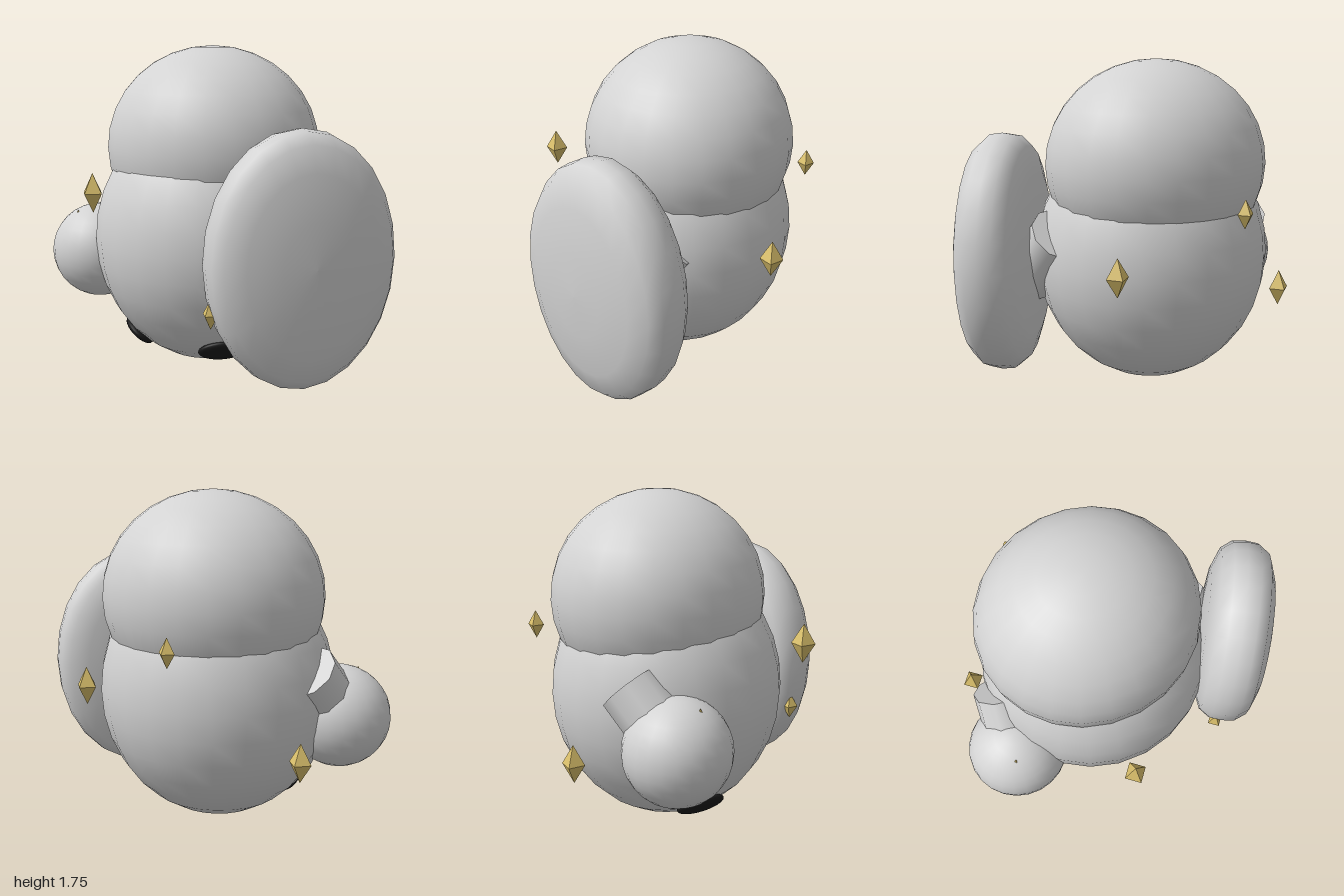
import * as THREE from 'three';

const CX = -0.115; // symmetry line of the figure

export function createModel() {
  const group = new THREE.Group();
  const mat = (name, color) => {
    const m = new THREE.MeshStandardMaterial({ color });
    m.name = name;
    return m;
  };
  const grey = mat('pale grey', 0xd3d3d3);
  const black = mat('black', 0x1a1a1a);
  const gold = mat('gold', 0xd9bf6b);
  gold.flatShading = true;

  const add = (name, geometry, material, x, y, z) => {
    const mesh = new THREE.Mesh(geometry, material);
    mesh.name = name;
    mesh.position.set(x, y, z);
    group.add(mesh);
    return mesh;
  };
  const ellipsoid = (rx, ry, rz) => new THREE.SphereGeometry(1, 24, 16).scale(rx, ry, rz);

  // Body and head
  add('body', ellipsoid(0.635, 0.7, 0.615), grey, CX, 0.703, -0.045);
  add('head', ellipsoid(0.595, 0.55, 0.56), grey, CX, 1.2, -0.09);

  // Feet: shallow pads lying along the underside of the body
  for (const side of [-1, 1]) {
    const foot = add(side < 0 ? 'rightFoot' : 'leftFoot', ellipsoid(0.135, 0.095, 0.035), black,
      CX + side * 0.29, 0.157, 0.22);
    foot.lookAt(foot.position.clone().add(new THREE.Vector3(side * 0.48, -0.74, 0.47)));
  }

  // Arms: short sloping stubs from shoulder to hand
  for (const side of [-1, 1]) {
    const shoulder = new THREE.Vector3(CX + side * 0.545, 0.86, -0.07);
    const wrist = new THREE.Vector3(CX + side * 0.61, 0.58, 0.185);
    const axis = shoulder.clone().sub(wrist);
    const mid = shoulder.clone().add(wrist).multiplyScalar(0.5);
    const arm = add(side < 0 ? 'rightArm' : 'leftArm',
      new THREE.CylinderGeometry(0.16, 0.16, axis.length(), 10), grey, mid.x, mid.y, mid.z);
    arm.quaternion.setFromUnitVectors(new THREE.Vector3(0, 1, 0), axis.normalize());
  }
  add('rightHand', ellipsoid(0.275, 0.27, 0.27), grey, -0.725, 0.58, 0.185);

  // Large oval pad on the left arm
  const profile = [[0, -0.2], [0.35, -0.195], [0.7, -0.17], [0.9, -0.13], [0.985, -0.07],
    [1, 0], [0.985, 0.07], [0.9, 0.13], [0.7, 0.17], [0.35, 0.2], [0, 0.205]]
    .map(([r, h]) => new THREE.Vector2(r, h));
  const padGeometry = new THREE.LatheGeometry(profile, 24);
  padGeometry.rotateX(Math.PI / 2).scale(0.49, 0.65, 1);
  const pad = add('leftPad', padGeometry, grey, 0.635, 0.717, 0.217);
  pad.rotation.y = 0.945;

  // Ring of seven floating gems at three heights and two sizes
  for (let i = 0; i < 7; i++) {
    const a = (i / 7) * Math.PI * 2;
    const size = i % 2 ? 0.075 : 0.1;
    add('gem' + (i + 1), new THREE.OctahedronGeometry(size).scale(0.6, 1, 0.6), gold,
      CX + 0.733 * Math.cos(a), [0.75, 0.475, 1.03][i % 3], -0.01 + 0.733 * Math.sin(a));
  }

  return group;
}
